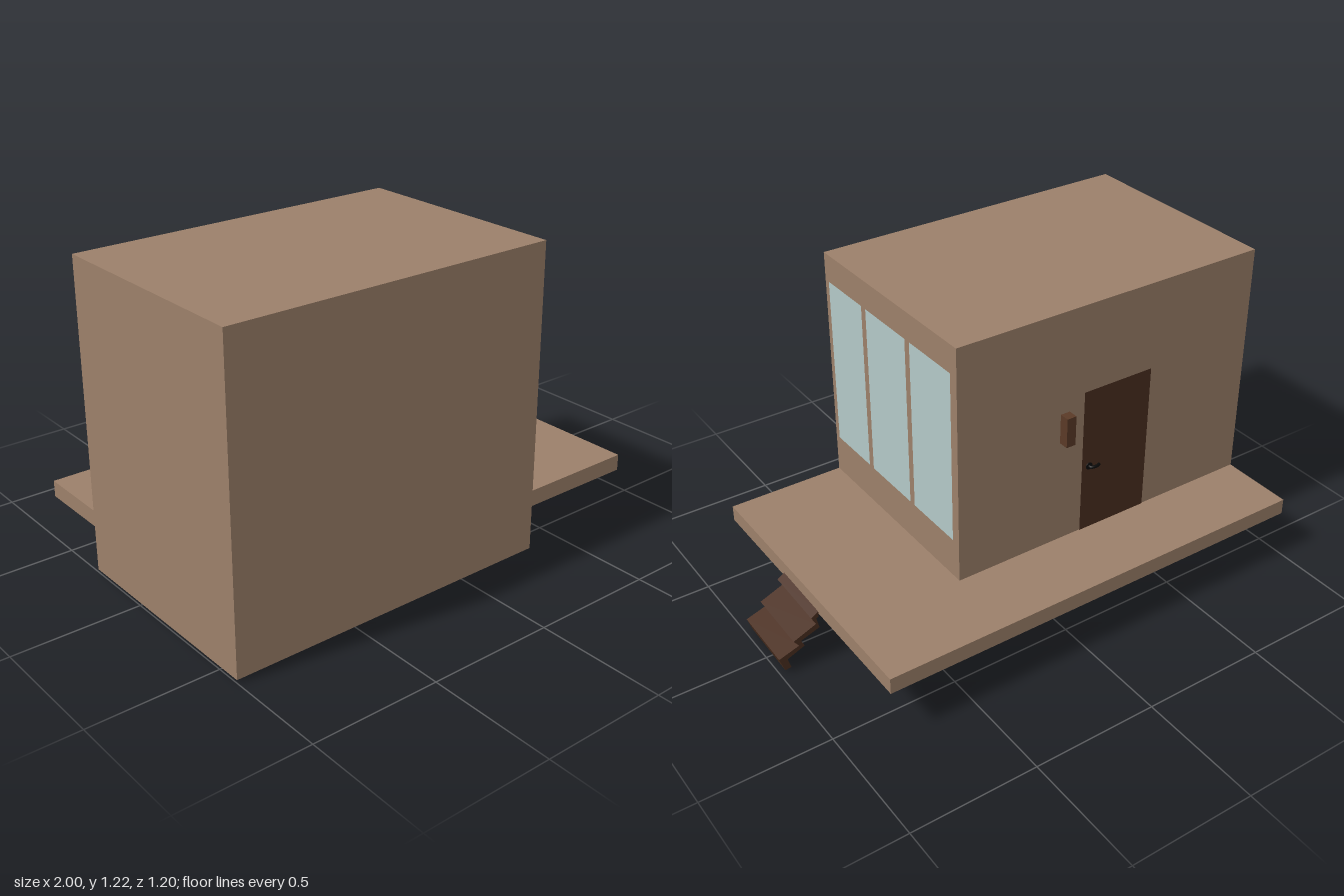
import * as THREE from 'three';

const mat = (color) => new THREE.MeshStandardMaterial({ color, side: THREE.DoubleSide });
const wall = mat(0x9c806a), glass = mat(0xb4c9c8), darkWood = mat(0x4a2e1f);
const lampWood = mat(0x5a3a27), black = mat(0x0a0a0a);

export function createModel() {
  const model = new THREE.Group();

  const add = (name, geometry, material) => {
    const mesh = new THREE.Mesh(geometry, material);
    mesh.name = name;
    model.add(mesh);
    return mesh;
  };
  // Box given by its lower and upper limits on each axis
  const box = (name, material, [x0, x1], [y0, y1], [z0, z1]) =>
    add(name, new THREE.BoxGeometry(x1 - x0, y1 - y0, z1 - z0), material)
      .position.set((x0 + x1) / 2, (y0 + y1) / 2, (z0 + z1) / 2);

  // House body and the deck wrapping its side and back
  box('house', wall, [-1, 0.34], [0.012, 1.225], [-0.295, 0.6]);
  box('deck', wall, [-0.999, 0.82], [0.19, 0.255], [-0.6, 0.599]);

  // Three tall window panes on the side wall
  [[0.33, 0.57], [0.03, 0.3], [-0.26, 0]].forEach(([z0, z1], i) => {
    const pane = add('window' + (i + 1), new THREE.PlaneGeometry(z1 - z0, 0.695), glass);
    pane.rotation.y = Math.PI / 2;
    pane.position.set(0.343, 0.768, (z0 + z1) / 2);
  });

  // Back door, a thin panel
  const door = add('door', new THREE.PlaneGeometry(0.31, 0.615), darkWood);
  door.rotation.y = Math.PI;
  door.position.set(-0.365, 0.5625, -0.298);

  // Door handle: round plate and curved lever
  const plate = add('handlePlate', new THREE.CylinderGeometry(0.015, 0.015, 0.003, 20), black);
  plate.rotation.x = Math.PI / 2;
  plate.position.set(-0.243, 0.54, -0.3);
  const leverPath = new THREE.CatmullRomCurve3([
    [-0.243, 0.54, -0.3], [-0.244, 0.54, -0.312], [-0.258, 0.541, -0.316],
    [-0.273, 0.54, -0.315], [-0.283, 0.538, -0.308],
  ].map((p) => new THREE.Vector3(...p)));
  add('handleLever', new THREE.TubeGeometry(leverPath, 20, 0.006, 10), black);

  // Wall lamp beside the door
  box('wallLamp', lampWood, [-0.145, -0.105], [0.69, 0.812], [-0.335, -0.294]);

  // Crooked folded stairs: zigzag profile extruded across, then skewed
  const profile = [
    [0.83, 0.218], [0.86, 0.2], [0.843, 0.166], [0.937, 0.128], [0.917, 0.1], [1, 0.073],
    [0.98, 0.0135], [0.955, 0.018], [0.967, 0.06], [0.895, 0.09], [0.91, 0.117],
    [0.83, 0.145], [0.84, 0.19], [0.83, 0.195],
  ].map((p) => new THREE.Vector2(...p));
  const stairs = new THREE.ExtrudeGeometry(new THREE.Shape(profile), { depth: 0.285, bevelEnabled: false });
  const pos = stairs.attributes.position;
  for (let i = 0; i < pos.count; i++) {
    const z = pos.getZ(i);
    pos.setXYZ(i, pos.getX(i) - 0.035 * z, pos.getY(i) - 0.047 * z, z - 0.115);
  }
  stairs.computeVertexNormals();
  add('stairs', stairs, darkWood);

  return model;
}
